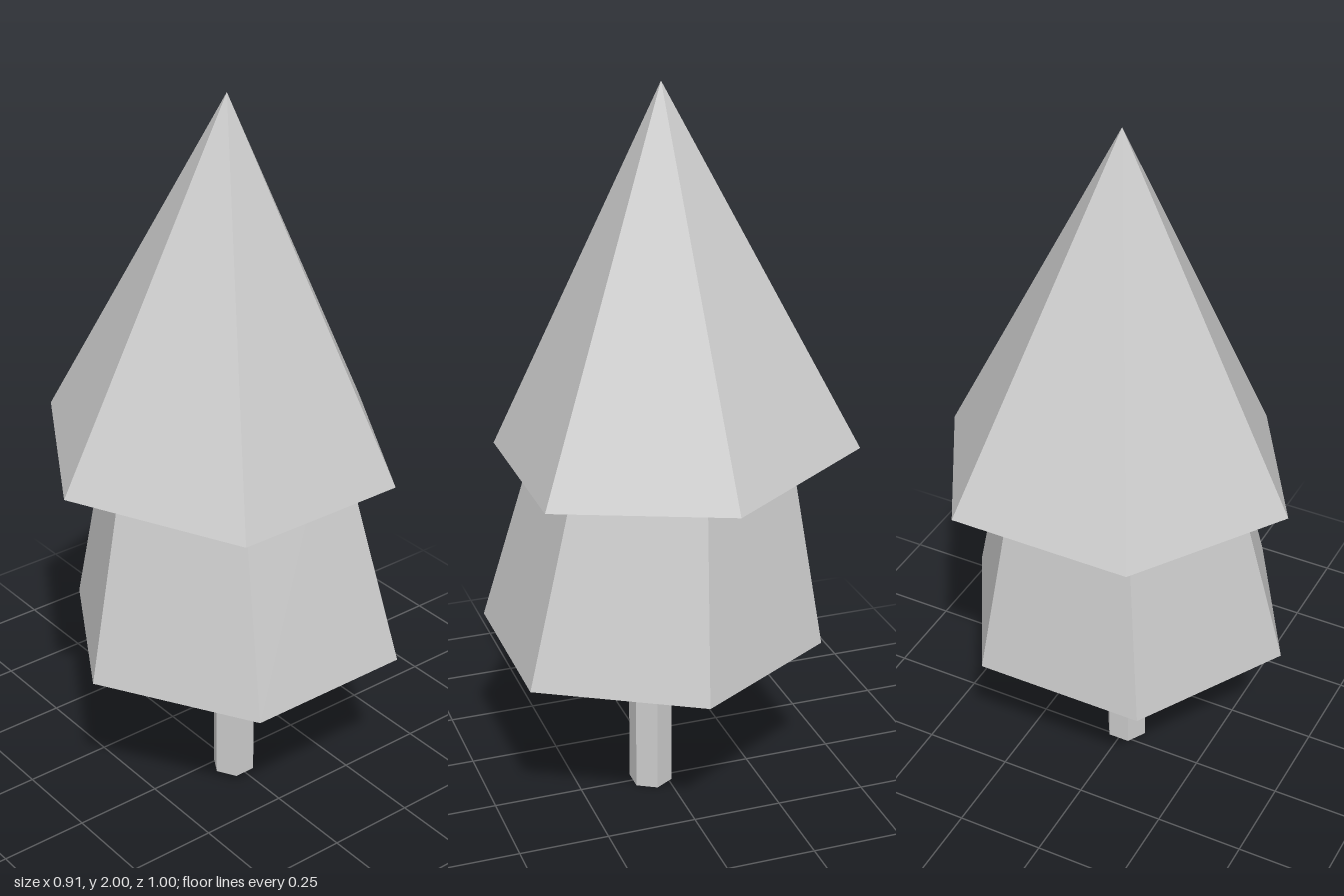
import * as THREE from 'three';

const SIDES = 6;

// Faceted skin through hexagonal rings [centreX, centreY, radius, slope along x].
function loft(name, rings, material) {
  const point = ([cx, cy, r, slope = 0], i) => {
    const a = Math.PI / 6 + (i % SIDES) * Math.PI * 2 / SIDES;
    const dx = Math.cos(a) * r;
    return [cx + dx, cy + dx * slope, Math.sin(a) * r];
  };
  const pos = [];
  for (let k = 0; k < rings.length - 1; k++) {
    const p = rings[k], q = rings[k + 1];
    for (let i = 0; i < SIDES; i++) {
      if (p[2] > 0) pos.push(...point(p, i), ...point(q, i), ...point(p, i + 1));
      if (q[2] > 0) pos.push(...point(q, i), ...point(q, i + 1), ...point(p, i + 1));
    }
  }
  const geometry = new THREE.BufferGeometry();
  geometry.setAttribute('position', new THREE.Float32BufferAttribute(pos, 3));
  geometry.computeVertexNormals();
  const mesh = new THREE.Mesh(geometry, material);
  mesh.name = name;
  return mesh;
}

export function createModel() {
  const group = new THREE.Group();
  group.name = 'tree';
  const material = new THREE.MeshStandardMaterial({ color: 0xcccccc, flatShading: true });

  // Straight trunk, running up into the foliage
  group.add(loft('trunk', [[0.043, 0, 0], [0.043, 0, 0.061], [0.043, 0.8, 0.061], [0.043, 0.8, 0]], material));

  // Lower foliage: leaning skirt with a hollowed underside
  group.add(loft('lowerFoliage', [
    [0.043, 0.72, 0], [0.043, 0.478, 0.475], [-0.005, 1.2, 0.305], [-0.005, 1.2, 0],
  ], material));

  // Upper foliage: pointed cone with a tilted rim and a deep hollow
  group.add(loft('upperFoliage', [
    [-0.005, 1.6, 0], [-0.025, 1.015, 0.498, -0.07], [0.01, 2, 0],
  ], material));

  return group;
}
